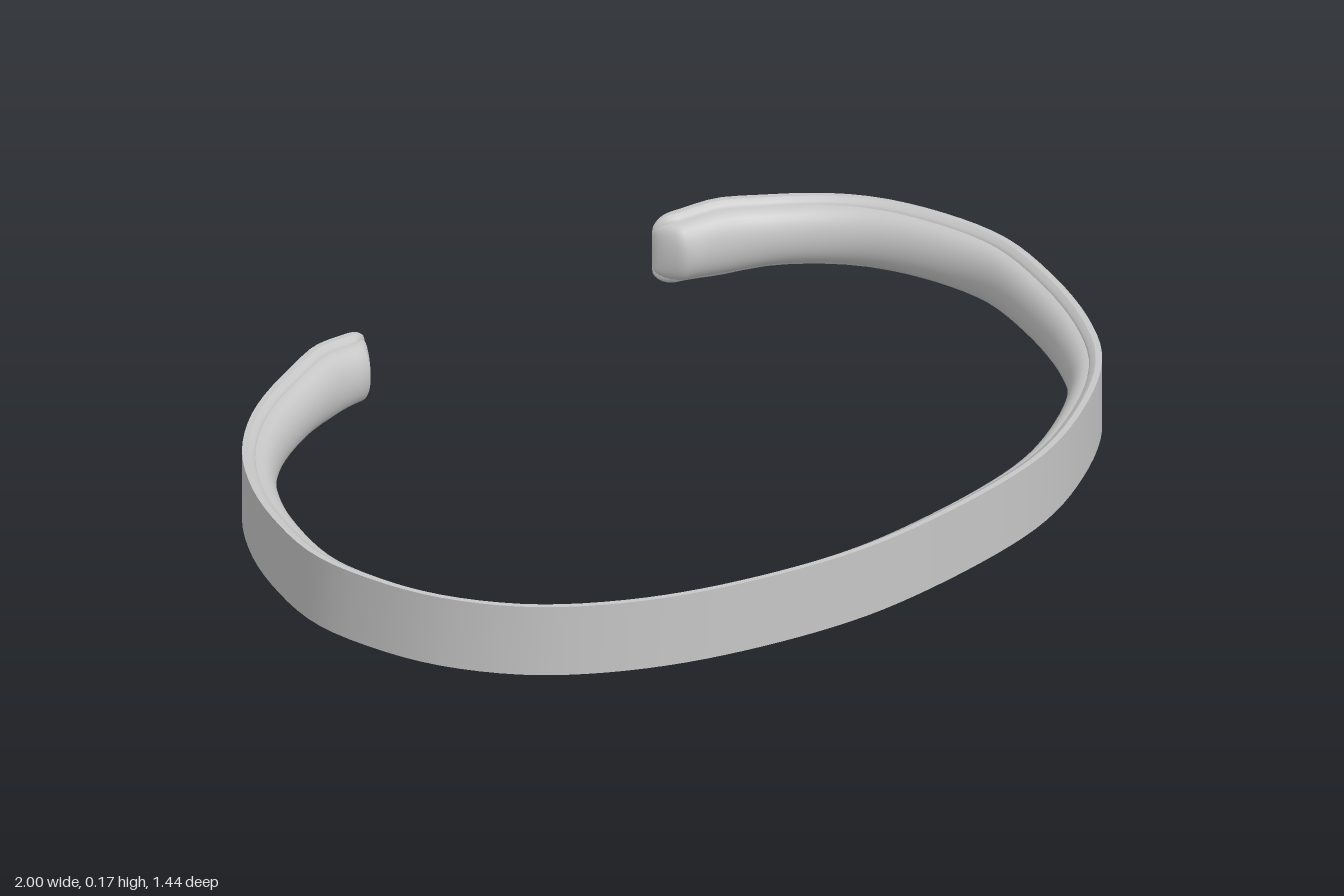
import * as THREE from 'three';

const HALF = 0.0775;   // half height of the band
const MID_Y = 0.085;   // height of the band's centre line
const TIP = 0.045;     // length of the rounded closing at each end

// Outer outline of the open cuff in plan (x, z), from one tip round the front to the other
const OUTLINE = [
  [-0.27, -0.70], [-0.41, -0.685], [-0.65, -0.57], [-0.80, -0.44], [-0.895, -0.30],
  [-0.96, -0.145], [-1.0, 0.04], [-0.98, 0.20], [-0.925, 0.35], [-0.82, 0.49],
  [-0.69, 0.585], [-0.50, 0.665], [-0.2, 0.72], [0.03, 0.715], [0.42, 0.63],
  [0.65, 0.50], [0.81, 0.355], [0.90, 0.20], [0.97, -0.01], [1.0, -0.21],
  [0.957, -0.405], [0.89, -0.53], [0.785, -0.625], [0.65, -0.69], [0.5, -0.72],
];

// Stations along the cuff: position, inward direction, height and depth factors
function makeStations() {
  const curve = new THREE.CatmullRomCurve3(OUTLINE.map(([x, z]) => new THREE.Vector3(x, 0, z)));
  curve.arcLengthDivisions = 1000;
  const length = curve.getLength();
  const ends = [0, 0.002, 0.006, 0.012, 0.02, 0.03, TIP, 0.07, 0.1, 0.13, 0.16, 0.2, 0.25];
  const along = [...ends];
  for (let i = 1; i < 100; i++) along.push(0.25 + (length - 0.5) * i / 100);
  along.push(...ends.map((s) => length - s).reverse());

  return along.map((s) => {
    const u = THREE.MathUtils.clamp(s / length, 0, 1);
    const p = curve.getPointAt(u);
    const t = curve.getTangentAt(u);
    const fromEnd = Math.min(s, length - s);
    const k = 1 - Math.min(fromEnd / TIP, 1);
    const round = Math.sqrt(Math.max(0, 1 - k * k));
    const flare = 0.0075 * Math.exp(-(((fromEnd - 0.15) / 0.07) ** 2));
    return {
      p, inX: t.z, inZ: -t.x,
      height: (0.55 + 0.45 * round) * (HALF + flare) / HALF,
      depth: 0.3 * round + 0.7 * (1 - k),
    };
  });
}

// Sweep a strip of section points [depth inward, height] along the stations
function sweep(stations, section) {
  const positions = [];
  const index = [];
  const n = section.length;
  stations.forEach((s, i) => {
    for (const [d, h] of section) {
      const depth = d * s.depth;
      positions.push(s.p.x + s.inX * depth, MID_Y + h * s.height, s.p.z + s.inZ * depth);
    }
    if (i === stations.length - 1) return;
    for (let j = 0; j < n - 1; j++) {
      const a = i * n + j;
      index.push(a, a + 1, a + n, a + 1, a + n + 1, a + n);
    }
  });
  const geometry = new THREE.BufferGeometry();
  geometry.setAttribute('position', new THREE.Float32BufferAttribute(positions, 3));
  geometry.setIndex(index);
  geometry.computeVertexNormals();
  return geometry;
}

export function createModel() {
  const group = new THREE.Group();
  group.name = 'cuffBracelet';
  const metal = new THREE.MeshStandardMaterial({ color: 0xc6c6c6 });
  metal.name = 'silver grey';

  const stations = makeStations();
  const add = (name, section) => {
    const mesh = new THREE.Mesh(sweep(stations, section), metal);
    mesh.name = name;
    group.add(mesh);
  };

  // Flat outer face
  add('outerFace', [[0, HALF], [0, -HALF]]);

  // Edge and sloping shoulder, mirrored top and bottom
  const edge = [[0, -HALF], [0.013, -HALF]];
  const shoulder = [[0.013, -HALF], [0.024, -0.071], [0.027, -0.064]];
  const mirror = (section) => section.map(([d, h]) => [d, -h]).reverse();
  add('bottomEdge', edge);
  add('bottomShoulder', shoulder);
  add('topShoulder', mirror(shoulder));
  add('topEdge', mirror(edge));

  // Domed inner face
  const dome = [];
  for (let i = 0; i <= 16; i++) {
    const a = -Math.PI / 2 + Math.PI * i / 16;
    dome.push([0.027 + 0.043 * Math.cos(a), 0.064 * Math.sin(a)]);
  }
  add('innerDome', dome);

  return group;
}
